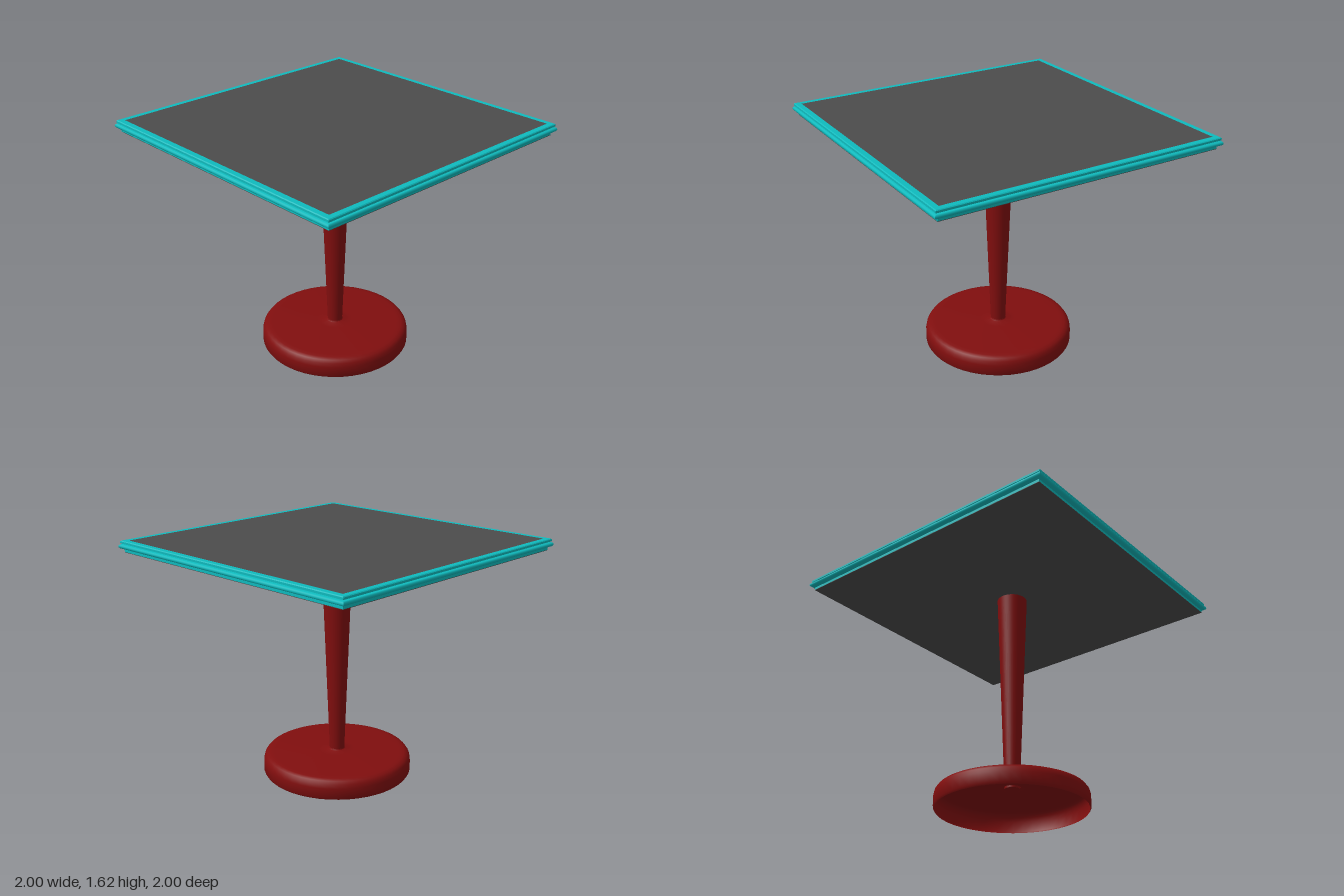
import * as THREE from 'three';
import { toCreasedNormals } from 'three/addons/utils/BufferGeometryUtils.js';

const RED = 0x800e0e, TEAL = 0x0fbabd, GREY = 0x4c4c4c;

const material = (color, side = THREE.FrontSide) => new THREE.MeshStandardMaterial({ color, side });

const points = (list) => list.map(([r, y]) => new THREE.Vector2(r, y));

export function createModel() {
  const group = new THREE.Group();
  const add = (name, geometry, mat, y = 0) => {
    const mesh = new THREE.Mesh(geometry, mat);
    mesh.name = name;
    mesh.position.y = y;
    group.add(mesh);
    return mesh;
  };

  // Base: thin round shell, open underneath, with a small flare at the pole
  const baseProfile = points([
    [0.5, 0], [0.508, 0.012], [0.508, 0.08], [0.502, 0.108], [0.488, 0.127],
    [0.465, 0.136], [0.435, 0.138], [0.12, 0.147], [0.06, 0.149], [0.053, 0.153], [0.05, 0.162],
  ]);
  add('base', toCreasedNormals(new THREE.LatheGeometry(baseProfile, 48), 0.7),
    material(RED, THREE.DoubleSide));

  // Pole: widens towards the tabletop
  add('pole', new THREE.CylinderGeometry(0.103, 0.05, 1.405, 40), material(RED), 0.14 + 1.405 / 2);

  // Tabletop rim: moulded profile swept round a square
  const bulge = [];
  for (let i = 0; i <= 6; i++) {
    const a = -Math.PI / 2 + (Math.PI * i) / 6;
    bulge.push([0.986 + 0.014 * Math.cos(a), 1.582 + 0.014 * Math.sin(a)]);
  }
  const rimProfile = points([
    [0.95, 1.545], [0.972, 1.545], [0.972, 1.562], [0.965, 1.568],
    ...bulge,
    [0.975, 1.6], [0.99, 1.602], [0.99, 1.615], [0.985, 1.62], [0.95, 1.62],
  ].map(([r, y]) => [r * Math.SQRT2, y]));
  const rim = new THREE.LatheGeometry(rimProfile, 4, Math.PI / 4);
  add('tabletopRim', toCreasedNormals(rim, 0.6), material(TEAL, THREE.DoubleSide));

  // Tabletop panel and its underside sheet
  add('tabletopPanel', new THREE.BoxGeometry(1.9, 0.074, 1.9), material(GREY), 1.583);
  add('tabletopUnderside', new THREE.BoxGeometry(1.944, 0.003, 1.944), material(GREY), 1.5435);

  return group;
}
